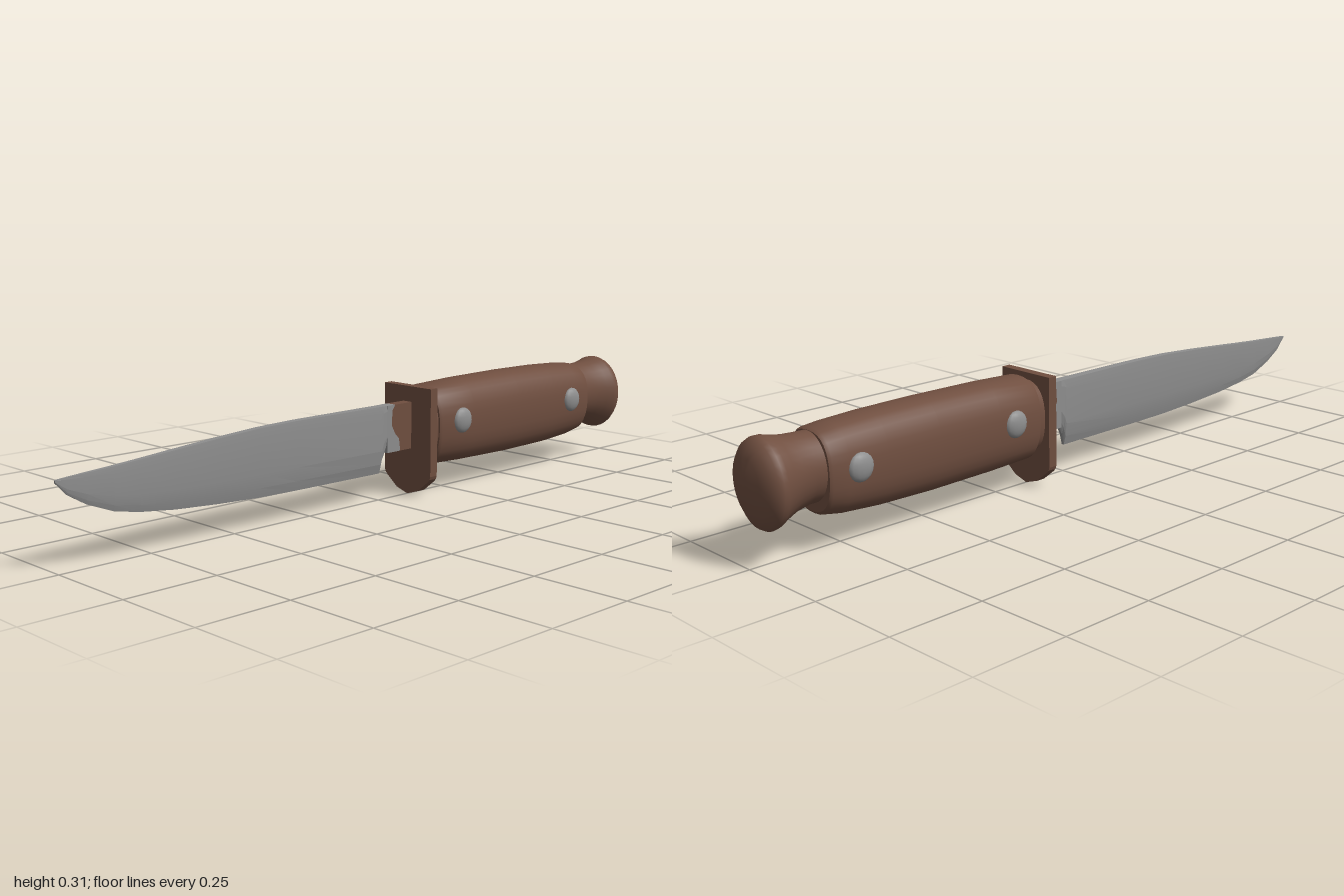
import * as THREE from 'three';
import { toCreasedNormals } from 'three/addons/utils/BufferGeometryUtils.js';

const brown = new THREE.MeshStandardMaterial({ name: 'brown wood', color: 0x704f40 });
const steel = new THREE.MeshStandardMaterial({ name: 'grey steel', color: 0x8e8e8e });

// Skin a list of rings (counter-clockwise from the front, ordered front to back) and cap both ends.
function loft(rings, crease) {
  const n = rings[0].length, pos = [], idx = [];
  rings.forEach(r => r.forEach(p => pos.push(...p)));
  for (let i = 0; i < rings.length - 1; i++) {
    for (let j = 0; j < n; j++) {
      const a = i * n + j, b = i * n + (j + 1) % n;
      idx.push(a, a + n, b, b, a + n, b + n);
    }
  }
  const last = (rings.length - 1) * n;
  for (let j = 1; j < n - 1; j++) idx.push(0, j, j + 1, last, last + j + 1, last + j);
  const geo = new THREE.BufferGeometry();
  geo.setAttribute('position', new THREE.Float32BufferAttribute(pos, 3));
  geo.setIndex(idx);
  return toCreasedNormals(geo, crease);
}

// Oval ring at z between two heights; power above 2 flattens the sides.
function oval(z, halfWidth, bottom, top, power = 2, n = 32) {
  const soft = v => Math.sign(v) * Math.abs(v) ** (2 / power);
  return Array.from({ length: n }, (_, j) => {
    const a = j / n * Math.PI * 2;
    return [halfWidth * soft(Math.cos(a)), (top + bottom) / 2 + (top - bottom) / 2 * soft(Math.sin(a)), z];
  });
}

// Blade section: narrow spine, flat sides, bevel and thin cutting edge.
function bladeRing([z, bottom, top, t]) {
  const h = top - bottom;
  const half = [[0.25 * t, bottom], [0.7 * t, bottom + h * 0.14], [t, bottom + h * 0.34], [t, top - h * 0.12], [0.85 * t, top]];
  return [...half.map(([x, y]) => [x, y, z]), ...half.reverse().map(([x, y]) => [-x, y, z])];
}

// Plate drawn in side view as [z, y] points, with its thickness along x.
function sidePlate(points, thickness) {
  const shape = new THREE.Shape(points.map(([z, y]) => new THREE.Vector2(-z, y)));
  const geo = new THREE.ExtrudeGeometry(shape, { depth: thickness, bevelEnabled: false });
  return geo.translate(0, 0, -thickness / 2).rotateY(Math.PI / 2);
}

export function createModel() {
  const knife = new THREE.Group();
  knife.name = 'knife';
  const add = (name, geo, mat) => {
    const mesh = new THREE.Mesh(geo, mat);
    mesh.name = name;
    knife.add(mesh);
    return mesh;
  };

  // Blade: z, edge height, spine height, half thickness
  const blade = [
    [1, 0.21, 0.217, 0.002], [0.97, 0.178, 0.219, 0.004], [0.92, 0.148, 0.222, 0.006],
    [0.85, 0.12, 0.226, 0.008], [0.78, 0.106, 0.231, 0.009], [0.68, 0.094, 0.239, 0.010],
    [0.55, 0.085, 0.249, 0.011], [0.42, 0.079, 0.257, 0.012], [0.3, 0.077, 0.26, 0.013],
    [0, 0.075, 0.26, 0.0155], [-0.007, 0.105, 0.26, 0.0155], [-0.02, 0.13, 0.26, 0.0155],
  ];
  add('blade', loft(blade.map(bladeRing), 0.12), steel);

  // Steel heel meeting the brown tang along an uneven border
  const border = [[-0.05, 0.26], [-0.04, 0.245], [-0.037, 0.205], [-0.05, 0.18], [-0.065, 0.165], [-0.07, 0.13]];
  add('bladeHeel', sidePlate([[-0.02, 0.13], [-0.02, 0.26], ...border], 0.03), steel);
  add('tang', sidePlate([...border, [-0.12, 0.13], [-0.12, 0.26]], 0.03), brown);

  // Guard with a pointed, rounded lower end
  const right = [[0.088, 0.303], [0.088, 0.06], [0.085, 0.051], [0.078, 0.043], [0.041, 0.013]];
  const outline = [...right, [0, 0], ...right.map(([x, y]) => [-x, y]).reverse()];
  const guard = new THREE.ExtrudeGeometry(
    new THREE.Shape(outline.map(([x, y]) => new THREE.Vector2(x, y))), { depth: 0.026, bevelEnabled: false });
  add('guard', guard.translate(0, 0, -0.139), brown);

  // Collar and grip
  add('collar', loft([oval(-0.138, 0.073, 0.092, 0.285, 2.4), oval(-0.17, 0.075, 0.088, 0.29, 2.4)], 0.6), brown);
  const grip = [
    [-0.16, 0.079, 0.084, 0.296], [-0.168, 0.083, 0.076, 0.301], [-0.3, 0.084, 0.071, 0.306],
    [-0.5, 0.084, 0.068, 0.308], [-0.66, 0.084, 0.071, 0.306], [-0.77, 0.083, 0.079, 0.301],
    [-0.818, 0.082, 0.088, 0.296], [-0.826, 0.078, 0.096, 0.291],
  ];
  add('grip', loft(grip.map(g => oval(...g, 2.5)), 0.6), brown);

  // Flared pommel with a domed end
  const pommel = [
    [-0.81, 0.072, 0.118, 0.29], [-0.85, 0.071, 0.117, 0.291], [-0.89, 0.076, 0.108, 0.293],
    [-0.92, 0.084, 0.095, 0.298], [-0.942, 0.092, 0.083, 0.304], [-0.956, 0.095, 0.081, 0.304],
    [-0.968, 0.09, 0.088, 0.299], [-0.982, 0.073, 0.113, 0.284], [-0.993, 0.047, 0.148, 0.261],
    [-1, 0.012, 0.19, 0.222],
  ];
  add('pommel', loft(pommel.map(p => oval(...p)), 0.8), brown);

  // Domed rivets, two on each side
  for (const side of [-1, 1]) {
    for (const z of [-0.25, -0.74]) {
      const rivet = add('rivet', new THREE.SphereGeometry(0.036, 14, 10), steel);
      rivet.scale.x = 0.45;
      rivet.position.set(side * 0.08, 0.2, z);
    }
  }
  return knife;
}
